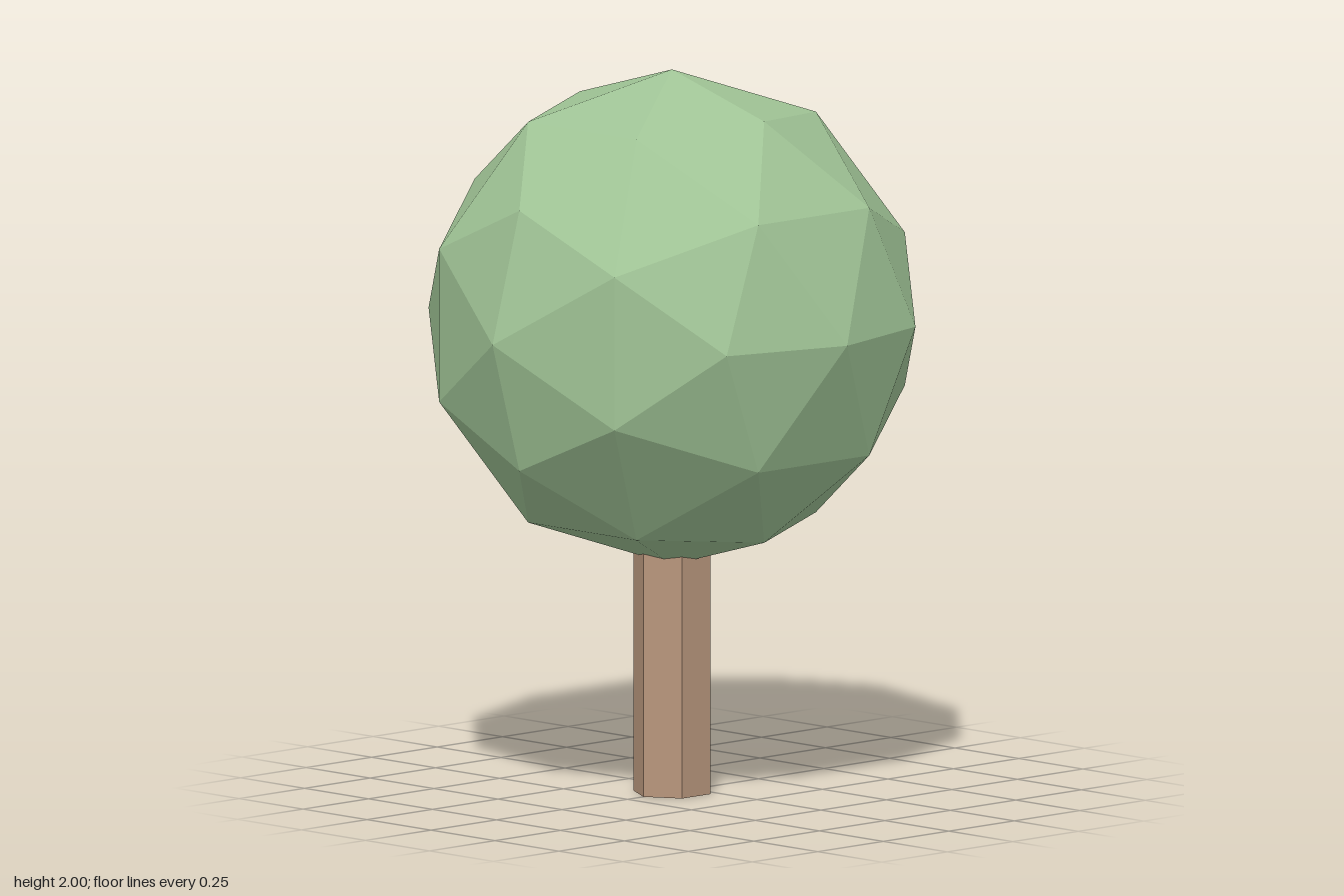
import * as THREE from 'three';

export function createModel() {
  const tree = new THREE.Group();
  tree.name = 'tree';
  const leaf = new THREE.MeshStandardMaterial({ color: 0xa0c496, flatShading: true });
  const bark = new THREE.MeshStandardMaterial({ color: 0xb8967c, flatShading: true });

  const add = (name, geometry, material, x, y, z) => {
    const mesh = new THREE.Mesh(geometry, material);
    mesh.name = name;
    mesh.position.set(x, y, z);
    tree.add(mesh);
  };

  // Faceted ball of leaves
  const ball = (radius) => new THREE.IcosahedronGeometry(radius, 1).rotateY(Math.PI / 2);
  add('mainFoliage', ball(0.685), leaf, -0.08, 1.315, 0);
  add('sideFoliage', ball(0.467), leaf, 0.297, 1.126, -0.19);

  // Six-sided trunk with corners on the x axis, its top buried in the leaves
  const trunkHeight = 0.8;
  const trunk = new THREE.CylinderGeometry(0.109, 0.109, trunkHeight, 6).rotateY(Math.PI / 2);
  add('trunk', trunk, bark, -0.08, trunkHeight / 2, 0);

  return tree;
}
